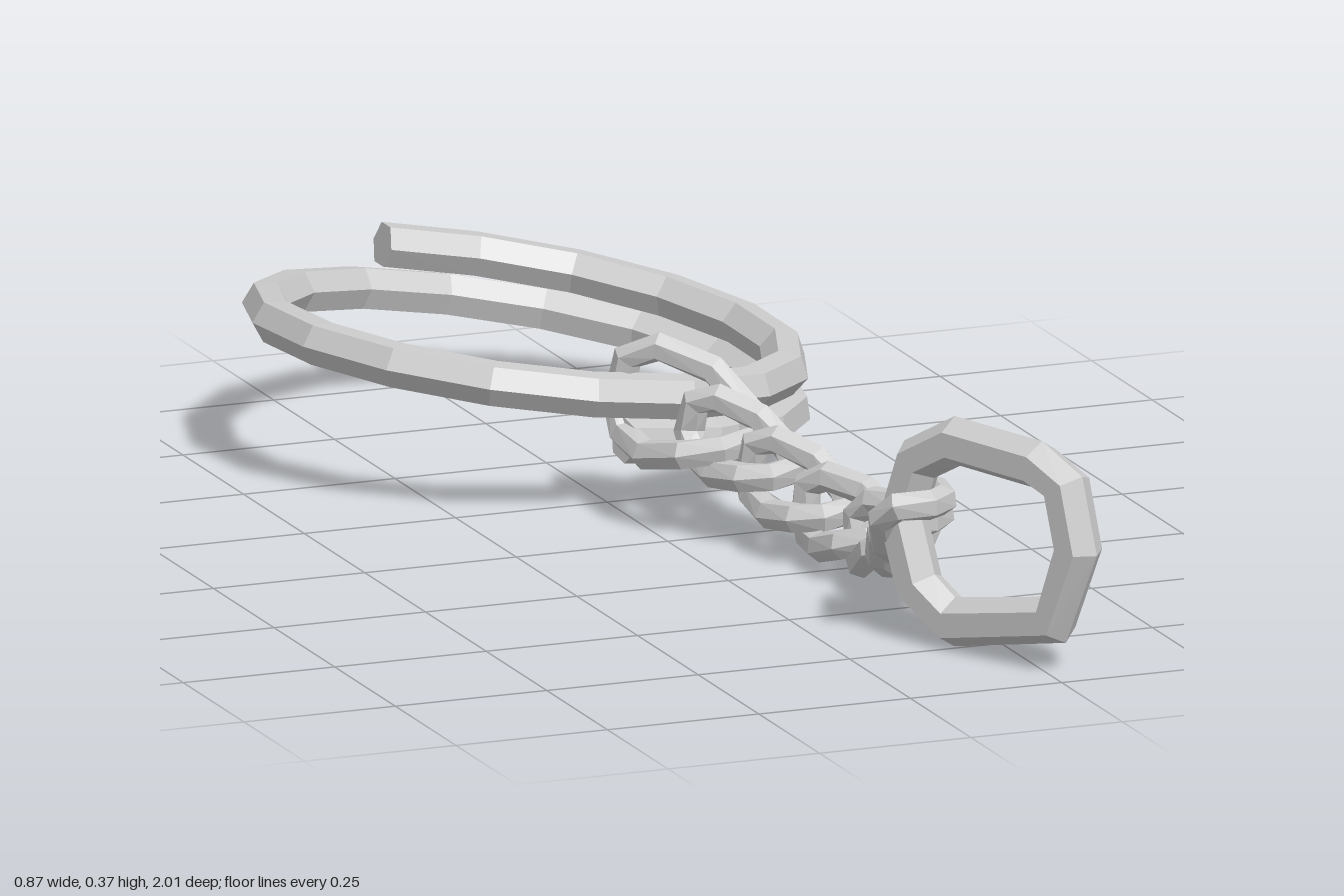
import * as THREE from 'three';

const material = new THREE.MeshStandardMaterial({
  color: 0xcccccc, flatShading: true, side: THREE.DoubleSide,
});
const V = (x, y, z) => new THREE.Vector3(x, y, z);

// Straight-sided path through the given points, so tubes keep crisp facets
class Polyline extends THREE.Curve {
  constructor(points, closed) {
    super();
    this.points = points;
    this.closed = closed;
    this.count = closed ? points.length : points.length - 1;
  }
  getPoint(t) {
    const n = this.points.length;
    const f = THREE.MathUtils.clamp(t, 0, 1) * this.count;
    const i = Math.min(Math.floor(f + 1e-6), this.count - 1);
    return this.points[i].clone().lerp(this.points[(i + 1) % n], f - i);
  }
  getPointAt(t) { return this.getPoint(t); }
  getTangentAt(t) {
    const h = 0.5 / this.count;
    const wrap = (v) => (this.closed ? (v + 1) % 1 : v);
    return this.getPoint(wrap(t + h)).sub(this.getPoint(wrap(t - h))).normalize();
  }
}

function wire(name, points, radius, closed = true) {
  const path = new Polyline(points, closed);
  const mesh = new THREE.Mesh(new THREE.TubeGeometry(path, path.count, radius, 6, closed), material);
  mesh.name = name;
  return mesh;
}

// Flat hexagonal cap made from one ring of tube vertices
function cap(tube, ring) {
  const source = tube.geometry.attributes.position;
  const corners = [];
  for (let i = 0; i < 6; i++) corners.push(new THREE.Vector3().fromBufferAttribute(source, ring * 7 + i));
  const geometry = new THREE.BufferGeometry().setFromPoints(corners);
  geometry.setIndex([0, 1, 2, 0, 2, 3, 0, 3, 4, 0, 4, 5]);
  geometry.computeVertexNormals();
  const mesh = new THREE.Mesh(geometry, material);
  mesh.name = 'ringEnd';
  return mesh;
}

// Tilted split ring: one and a half turns of a shallow helix
function splitRing() {
  const group = new THREE.Group();
  group.name = 'splitRing';
  const points = [];
  const steps = 25;
  for (let i = 0; i <= steps; i++) {
    const a = THREE.MathUtils.lerp(-0.2, Math.PI * 3, i / steps);
    points.push(V(
      -0.005 + 0.402 * Math.sin(a),
      0.1725 - 0.0675 * Math.sin(a) + 0.07 * (0.75 - a / (2 * Math.PI)),
      -0.57 - 0.402 * Math.cos(a),
    ));
  }
  const coil = wire('ringCoil', points, 0.036, false);
  group.add(coil, cap(coil, 0), cap(coil, steps));
  return group;
}

// Oval link twisted a quarter turn: upright at its back end, flat at its front end
function chainLink(centre, axis, halfLength, halfWidth) {
  const side = V(0, 1, 0).cross(axis).normalize();
  const up = axis.clone().cross(side);
  const soft = (v, p) => Math.sign(v) * Math.abs(v) ** p;
  const points = [];
  for (let i = 0; i < 10; i++) {
    const t = ((i + 0.5) / 10) * Math.PI * 2;
    const s = soft(Math.cos(t), 0.85);
    const w = halfWidth * soft(Math.sin(t), 0.7);
    const roll = (Math.PI / 4) * (1 - s);
    points.push(centre.clone()
      .addScaledVector(axis, halfLength * s)
      .addScaledVector(side, w * Math.cos(roll))
      .addScaledVector(up, w * Math.sin(roll)));
  }
  return wire('chainLink', points, 0.024);
}

// Sagging chain of interlocked twisted links
function chain() {
  const group = new THREE.Group();
  group.name = 'chain';
  const path = new THREE.CatmullRomCurve3([
    V(0.06, 0.175, -0.1), V(0.11, 0.145, 0.01), V(0.155, 0.105, 0.13), V(0.19, 0.08, 0.25),
    V(0.208, 0.083, 0.37), V(0.192, 0.125, 0.495), V(0.155, 0.178, 0.61),
  ]);
  for (let i = 0; i < 7; i++) {
    const first = i === 0;
    group.add(chainLink(path.getPoint(i / 6), path.getTangent(i / 6), first ? 0.13 : 0.105, first ? 0.085 : 0.056));
  }
  return group;
}

// Large rounded link standing upright at the chain's free end
function endLink() {
  const outline = [
    [0.895, 0.32], [0.945, 0.295], [0.966, 0.2], [0.925, 0.08], [0.74, 0.04],
    [0.675, 0.085], [0.645, 0.19], [0.675, 0.285], [0.745, 0.328],
  ];
  return wire('endLink', outline.map(([z, y]) => V(0.13 + (z - 0.645) * 0.5, y, z)), 0.039);
}

export function createModel() {
  const model = new THREE.Group();
  model.name = 'keyChain';
  model.add(splitRing(), chain(), endLink());
  return model;
}
